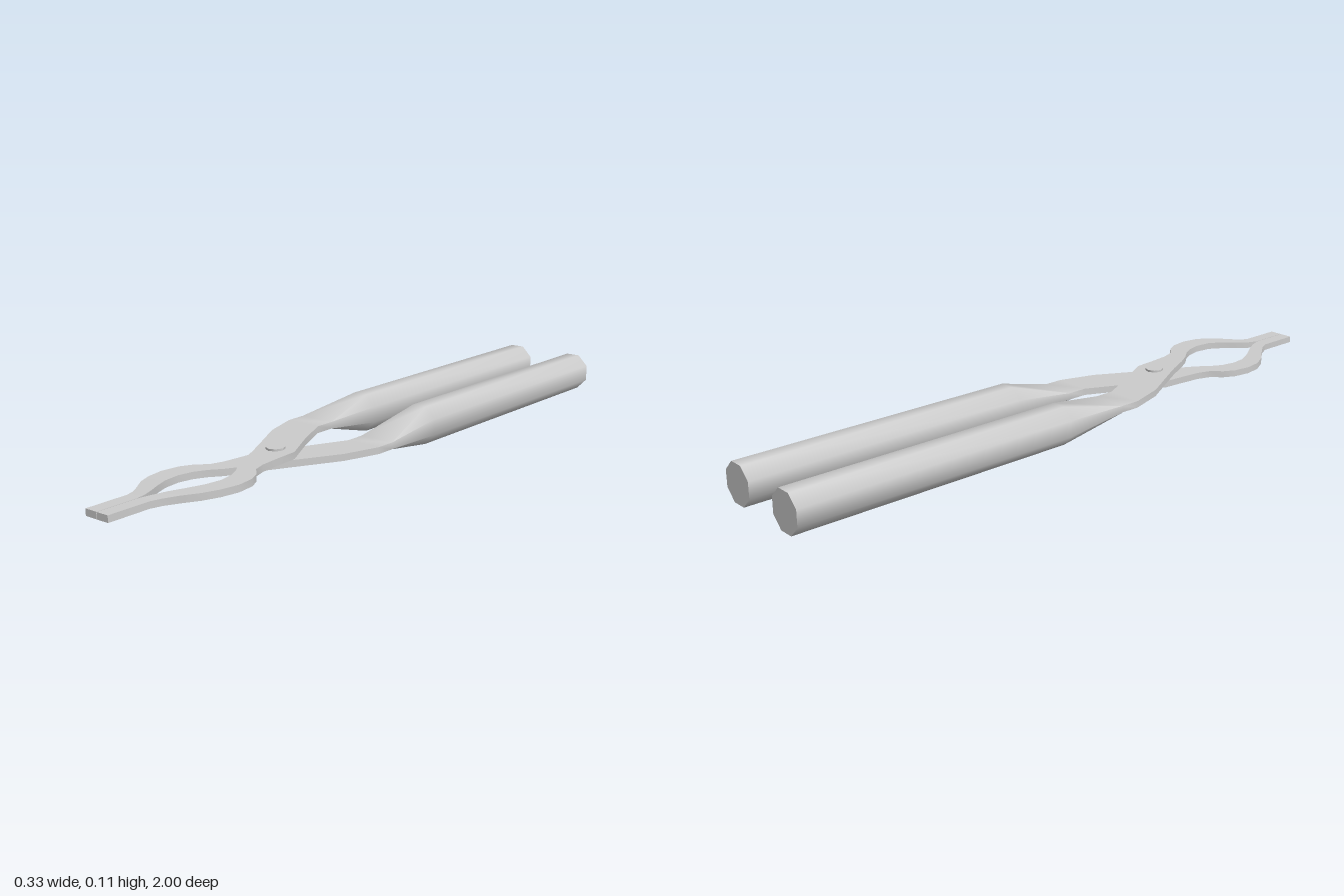
import * as THREE from 'three';
import { toCreasedNormals } from 'three/addons/utils/BufferGeometryUtils.js';

const MID = 0.0565; // height of the plane where the two arms touch

// Arm stations: [xLeft, zLeft, xRight, zRight, yBottom, yTop, chamfer]
// An octagonal grip flattens into a bar, crosses the middle, bows out and ends in a jaw tip.
const F = [0, 0.02, 0]; // flat bar section
const STATIONS = [
  [-0.167, -1, -0.057, -1, -0.0565, 0.0565, 0.0325],
  [-0.167, -0.12, -0.057, -0.12, -0.0565, 0.0565, 0.0325],
  [-0.167, 0.08, -0.057, 0.08, ...F],
  [-0.167, 0.14, -0.057, 0.14, ...F],
  [-0.133, 0.25, 0, 0.26, ...F],
  [-0.062, 0.38, 0.06, 0.37, ...F],
  [-0.03, 0.44, 0.065, 0.44, ...F],
  [0, 0.505, 0.072, 0.505, ...F],
  [0.025, 0.55, 0.085, 0.545, ...F],
  [0.052, 0.585, 0.115, 0.575, ...F],
  [0.07, 0.62, 0.133, 0.61, ...F],
  [0.079, 0.665, 0.141, 0.665, ...F],
  [0.073, 0.715, 0.132, 0.72, ...F],
  [0.053, 0.76, 0.11, 0.765, -0.002, 0.018, 0],
  [0.03, 0.8, 0.078, 0.805, -0.005, 0.015, 0],
  [0.01, 0.84, 0.052, 0.84, -0.008, 0.011, 0],
  [0.001, 0.875, 0.04, 0.87, -0.0095, 0.0095, 0],
  [0.001, 1, 0.04, 1, -0.0095, 0.0095, 0],
];

// Eight corners of a station, anticlockwise seen from the front
function ring([l, zl, r, zr, b, t, c]) {
  return [
    [r, b + c, zr], [r, t - c, zr], [r - c, t, zr], [l + c, t, zl],
    [l, t - c, zl], [l, b + c, zl], [l + c, b, zl], [r - c, b, zr],
  ].map((p) => new THREE.Vector3(...p));
}

// Skin the stations, skipping triangles that collapse where the chamfer is zero
function armGeometry() {
  const points = [];
  const tri = new THREE.Triangle();
  const add = (a, b, c) => {
    if (tri.set(a, b, c).getArea() > 1e-8) points.push(a, b, c);
  };
  const rings = STATIONS.map(ring);
  for (let s = 0; s < rings.length - 1; s++) {
    const A = rings[s], B = rings[s + 1];
    for (let i = 0; i < 8; i++) {
      const j = (i + 1) % 8;
      add(A[i], A[j], B[j]);
      add(A[i], B[j], B[i]);
    }
  }
  const back = rings[0], front = rings[rings.length - 1];
  for (let i = 1; i < 7; i++) {
    add(back[0], back[i + 1], back[i]);
    add(front[0], front[i], front[i + 1]);
  }
  const geometry = new THREE.BufferGeometry().setFromPoints(points);
  return toCreasedNormals(geometry, 0.9);
}

export function createModel() {
  const group = new THREE.Group();
  group.name = 'tongs';
  const material = new THREE.MeshStandardMaterial({ color: 0xcccccc });

  // Two identical arms, the lower one rolled half a turn about the long axis
  const geometry = armGeometry();
  ['upperArm', 'lowerArm'].forEach((name, i) => {
    const arm = new THREE.Mesh(geometry, material);
    arm.name = name;
    arm.position.y = MID;
    arm.rotation.z = i * Math.PI;
    group.add(arm);
  });

  // Pivot rivet through both arms
  const rivetGeometry = toCreasedNormals(new THREE.CylinderGeometry(0.027, 0.027, 0.052, 8), 0.9);
  const rivet = new THREE.Mesh(rivetGeometry, material);
  rivet.name = 'pivotRivet';
  rivet.position.set(0, MID, 0.38);
  group.add(rivet);

  return group;
}
